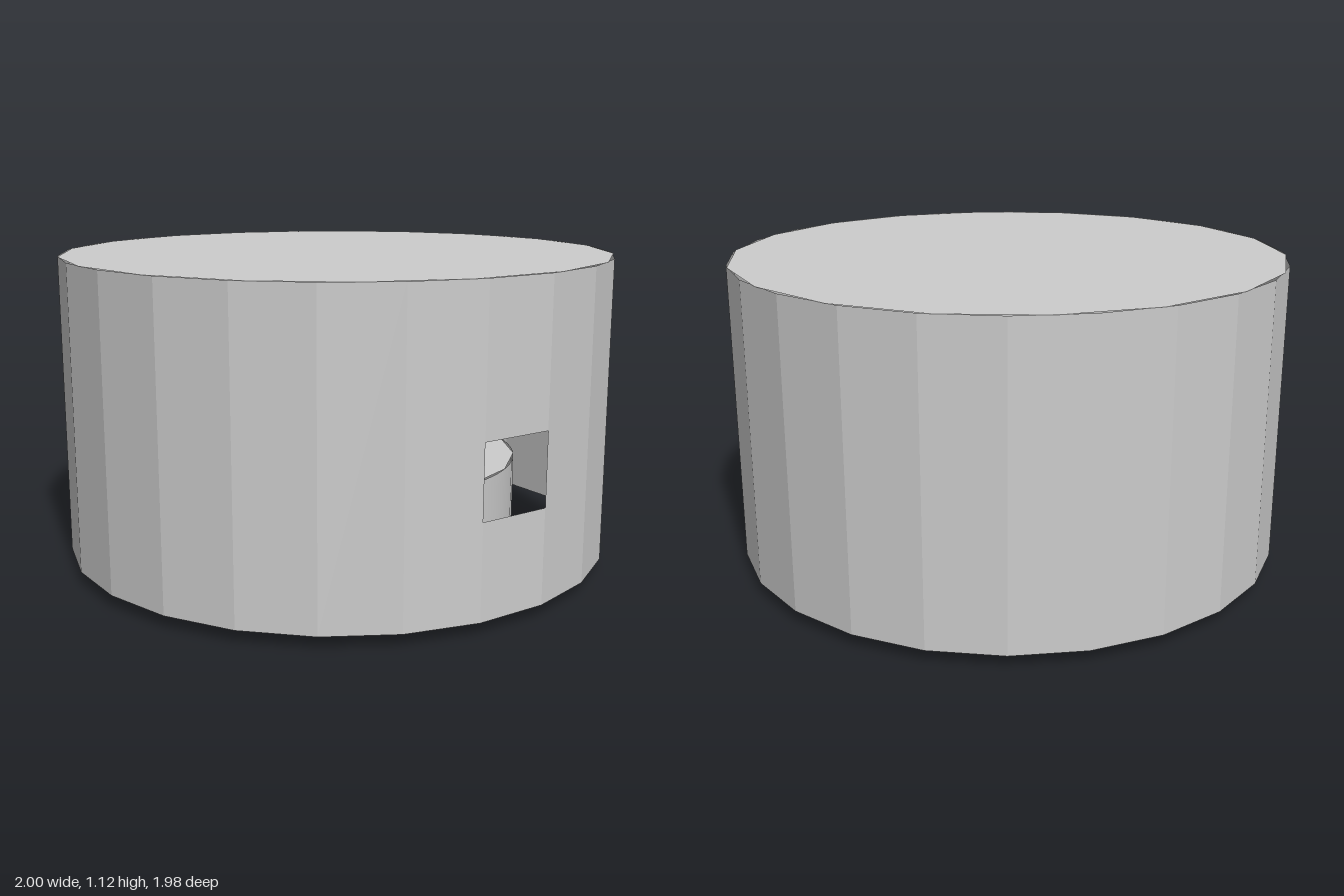
import * as THREE from 'three';

const grey = new THREE.MeshStandardMaterial({ color: 0xcccccc, side: THREE.DoubleSide });

export function createModel() {
  const model = new THREE.Group();

  const add = (name, geometry, y, z = 0) => {
    const mesh = new THREE.Mesh(geometry, grey);
    mesh.name = name;
    mesh.position.set(0, y, z);
    model.add(mesh);
    return mesh;
  };
  // open tube standing between two heights
  const tube = (name, r, y0, y1) =>
    add(name, new THREE.CylinderGeometry(r, r, y1 - y0, 64, 1, true), (y0 + y1) / 2);
  // flat 18-sided plate facing up or down
  const plate = (name, r, y, down = false) => {
    add(name, new THREE.CircleGeometry(r, 18).rotateX(down ? Math.PI / 2 : -Math.PI / 2), y);
  };

  // Outer shell: 24 flat facets, the front one left out for the window
  const bottom = 0.045, top = 1.125, step = Math.PI / 12;
  const shell = new THREE.CylinderGeometry(1, 1, top - bottom, 23, 1, true, step / 2, Math.PI * 2 - step).toNonIndexed();
  shell.computeVertexNormals();
  add('outerWall', shell, (top + bottom) / 2);

  // Front facet above and below the square window
  const width = 2 * Math.sin(step / 2), apothem = Math.cos(step / 2);
  for (const [name, y0, y1] of [['panelBelowWindow', bottom, 0.375], ['panelAboveWindow', 0.628, top]]) {
    add(name, new THREE.PlaneGeometry(width, y1 - y0), (y0 + y1) / 2, apothem);
  }
  plate('lid', 1, top);

  // Inner drum on a slightly wider foot ring
  tube('innerDrum', 0.667, 0.043, 0.375);
  plate('innerDrumTop', 0.667, 0.375);
  tube('footRing', 0.685, 0, 0.043);
  add('footRingLedge', new THREE.RingGeometry(0.66, 0.685, 64).rotateX(-Math.PI / 2), 0.043);
  plate('basePlate', 0.683, 0.038, true);

  return model;
}
